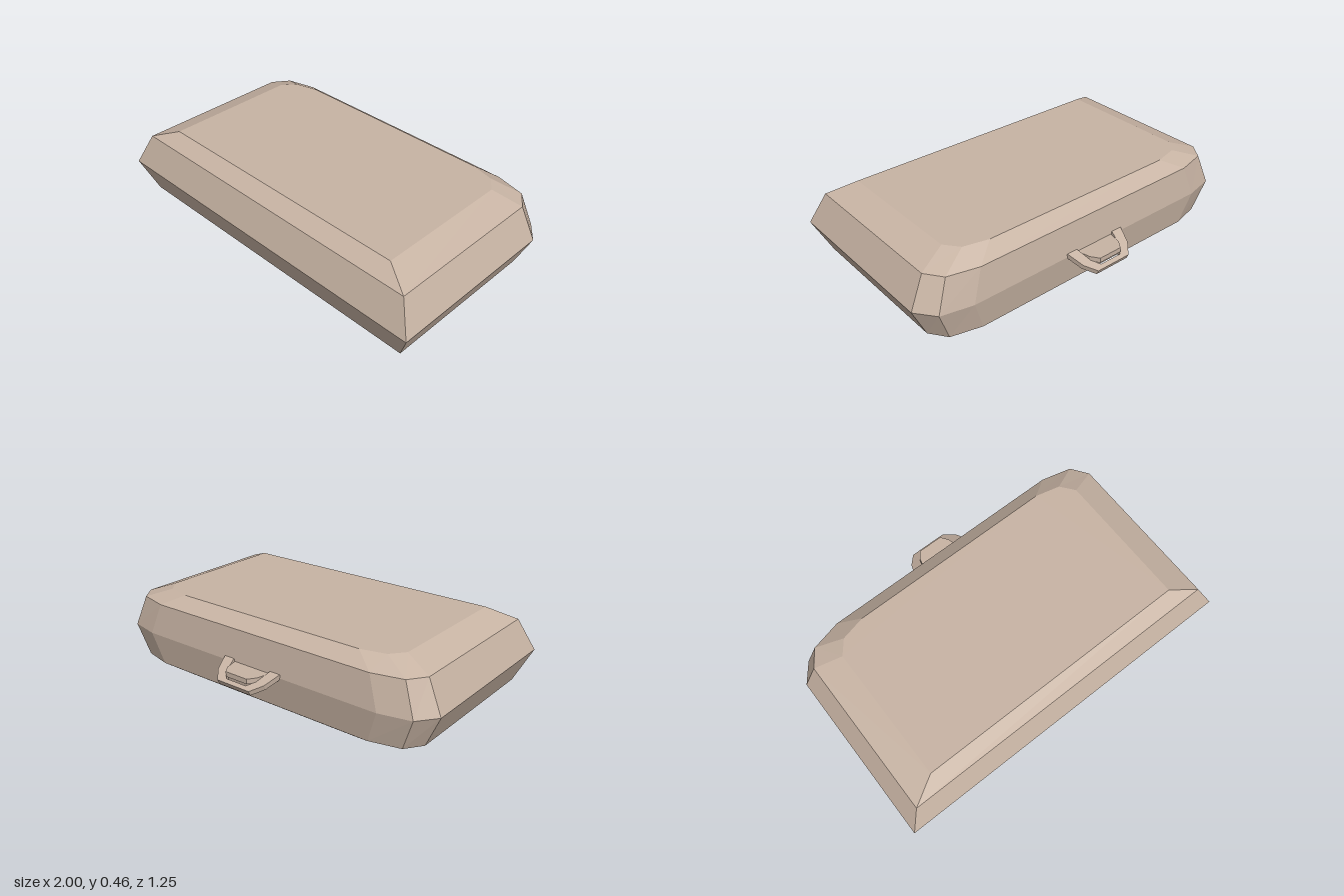
import * as THREE from 'three';

const material = new THREE.MeshStandardMaterial({ color: 0xc8b4a4, flatShading: true });

// Half outlines (x, z) from the back middle round to the front corner
const rim = [[0.75, -0.485], [0.92, -0.447], [1, -0.345], [1, 0.622]];
const shoulder = [[0.69, -0.46], [0.855, -0.42], [0.92, -0.33], [0.92, 0.557]];
const panel = [[0.575, -0.38], [0.71, -0.348], [0.77, -0.273], [0.77, 0.475]];

const mirrored = (half) => [...half, ...half.map(([x, z]) => [-x, z]).reverse()];

// Shell half lofted through outlines given as [halfOutline, y], bottom to top
function loft(levels, capTop) {
  const n = mirrored(levels[0][0]).length;
  const points = levels.flatMap(([half, y]) => mirrored(half).flatMap(([x, z]) => [x, y, z]));
  const index = [];
  for (let l = 0; l < levels.length - 1; l++) {
    for (let i = 0; i < n; i++) {
      const a = l * n + i, b = l * n + (i + 1) % n;
      index.push(a, a + n, b, b, a + n, b + n);
    }
  }
  const base = capTop ? (levels.length - 1) * n : 0;
  for (let i = 1; i < n - 1; i++) {
    index.push(base, ...(capTop ? [base + i + 1, base + i] : [base + i, base + i + 1]));
  }
  const geometry = new THREE.BufferGeometry();
  geometry.setAttribute('position', new THREE.Float32BufferAttribute(points, 3));
  geometry.setIndex(index);
  const flat = geometry.toNonIndexed();
  flat.computeVertexNormals();
  return flat;
}

// Flat plate from a plan outline (x, distance behind the case), thickened upward
function plate(outline, thickness) {
  const shape = new THREE.Shape(outline.map(([x, d]) => new THREE.Vector2(x, d)));
  return new THREE.ExtrudeGeometry(shape, { depth: thickness, bevelEnabled: false }).rotateX(-Math.PI / 2);
}

export function createModel() {
  const group = new THREE.Group();
  const add = (name, geometry) => {
    const mesh = new THREE.Mesh(geometry, material);
    mesh.name = name;
    group.add(mesh);
    return mesh;
  };

  // Two bevelled shells meeting at the widest line
  const seam = 0.232;
  add('lowerShell', loft([[panel, 0], [shoulder, 0.057], [rim, seam]], false));
  add('upperShell', loft([[rim, seam], [shoulder, 0.405], [panel, 0.462]], true));

  // Carrying handle, an open trapezoid loop drooping from the back
  const outer = mirrored([[0.185, 0], [0.155, 0.09], [0.105, 0.152]]);
  const inner = mirrored([[0.122, 0], [0.1, 0.085], [0.065, 0.127]]);
  const handle = add('handle', plate([...outer, ...inner.reverse()], 0.028));
  handle.rotation.x = -0.42;
  handle.position.set(0, 0.228, -0.475);

  // Small level tab behind the handle opening
  const tab = add('handleTab', plate(mirrored([[0.12, 0], [0.1, 0.085], [0.07, 0.127]]), 0.027));
  tab.position.set(0, 0.211, -0.473);

  return group;
}
